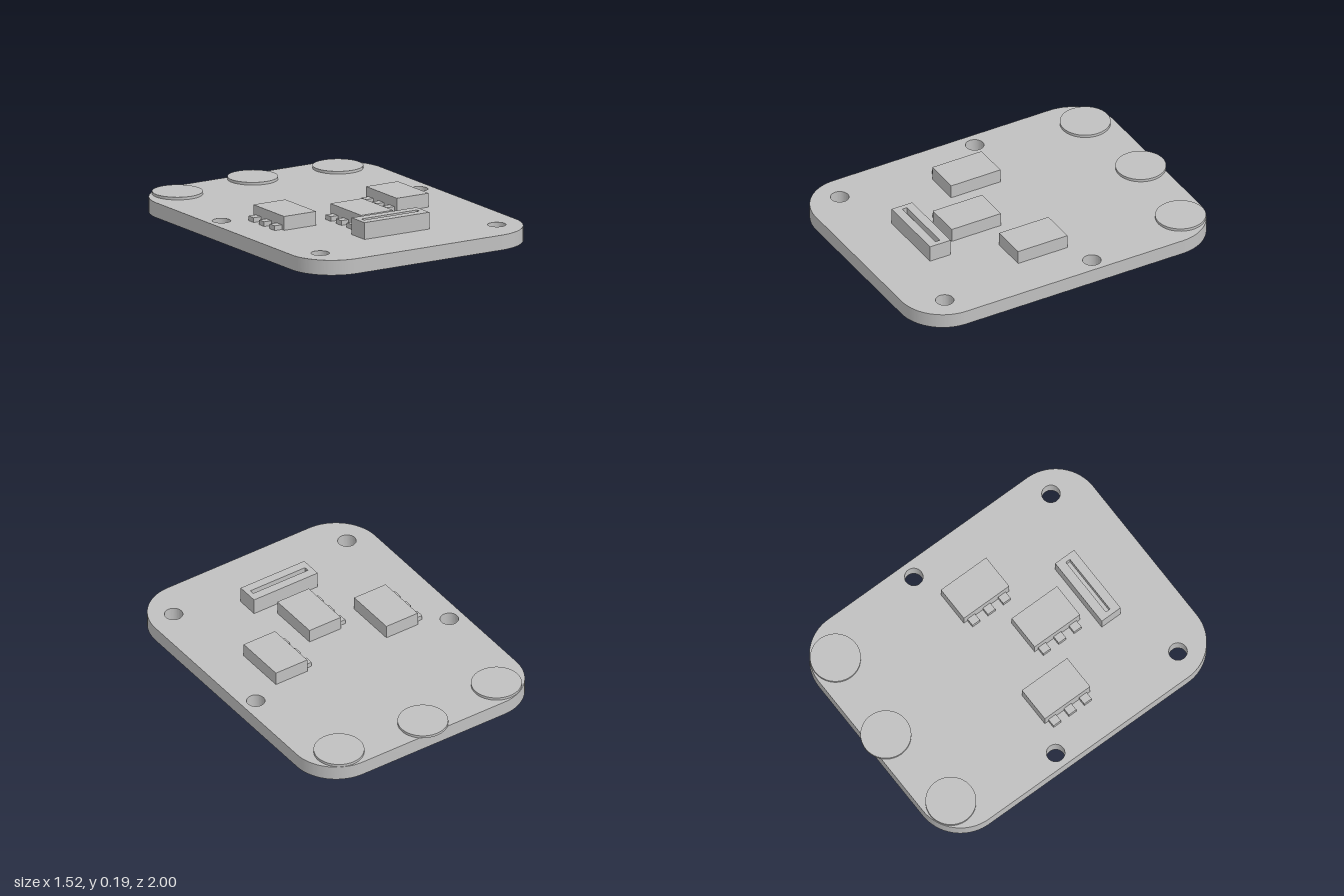
import * as THREE from 'three';
import { toCreasedNormals } from 'three/addons/utils/BufferGeometryUtils.js';

const TOP = 0.088; // height of the board's upper face

export function createModel() {
  const model = new THREE.Group();
  model.name = 'circuitBoard';
  const grey = new THREE.MeshStandardMaterial({ color: 0xc0c0c0 });
  grey.name = 'plain grey';

  const add = (name, geometry, x = 0, y = 0, z = 0, parent = model) => {
    const mesh = new THREE.Mesh(geometry, grey);
    mesh.name = name;
    mesh.position.set(x, y, z);
    parent.add(mesh);
    return mesh;
  };

  // Extrudes a plan shape upwards; shape y becomes -z
  const slab = (shape, height) => {
    const g = new THREE.ExtrudeGeometry(shape, { depth: height, bevelEnabled: false, curveSegments: 24 });
    g.rotateX(-Math.PI / 2);
    return toCreasedNormals(g, 0.6);
  };

  const rectangle = (target, w, d) => {
    target.moveTo(-w, -d).lineTo(w, -d).lineTo(w, d).lineTo(-w, d).closePath();
    return target;
  };

  // Board with rounded corners and four mounting holes
  const w = 0.76, front = -1, back = 0.963, r = 0.27;
  const outline = new THREE.Shape();
  outline.moveTo(-w + r, front);
  outline.absarc(w - r, front + r, r, -Math.PI / 2, 0, false);
  outline.absarc(w - r, back - r, r, 0, Math.PI / 2, false);
  outline.absarc(-w + r, back - r, r, Math.PI / 2, Math.PI, false);
  outline.absarc(-w + r, front + r, r, Math.PI, Math.PI * 1.5, false);
  for (const [x, z] of [[0.67, -0.148], [0.6, 0.78]]) {
    for (const side of [-1, 1]) {
      outline.holes.push(new THREE.Path().absarc(side * x, -z, 0.053, 0, Math.PI * 2, true));
    }
  }
  add('board', slab(outline, TOP));

  // Round contact pads along the back edge
  const padHeight = 0.016;
  const padGeometry = new THREE.CylinderGeometry(0.145, 0.145, padHeight, 64);
  for (const [x, z] of [[-0.545, -0.803], [0, -0.855], [0.545, -0.803]]) {
    add('contactPad', padGeometry, x, TOP + padHeight / 2, z);
  }

  // Chips, each with three pins on its right side
  const chipHeight = 0.082, pinHeight = 0.028;
  const chipGeometry = new THREE.BoxGeometry(0.217, chipHeight, 0.324);
  const pinGeometry = new THREE.BoxGeometry(0.048, pinHeight, 0.053);
  for (const [x, z] of [[-0.383, 0.072], [0, 0.289], [0.382, 0.072]]) {
    const chip = new THREE.Group();
    chip.name = 'chip';
    chip.position.set(x, TOP, z);
    add('chipBody', chipGeometry, 0, chipHeight / 2, 0, chip);
    for (const dz of [-0.11, 0, 0.11]) {
      add('chipPin', pinGeometry, -0.1325, pinHeight / 2, dz, chip);
    }
    model.add(chip);
  }

  // Connector: solid base below a rim that leaves a narrow slot
  const connector = new THREE.Group();
  connector.name = 'connector';
  connector.position.set(0, TOP, 0.59);
  const baseHeight = 0.06, rimHeight = 0.039;
  add('connectorBase', new THREE.BoxGeometry(0.44, baseHeight, 0.135), 0, baseHeight / 2, 0, connector);
  const rim = rectangle(new THREE.Shape(), 0.22, 0.0675);
  rim.holes.push(rectangle(new THREE.Path(), 0.189, 0.0145));
  add('connectorRim', slab(rim, rimHeight), 0, baseHeight, 0, connector);
  model.add(connector);

  return model;
}
